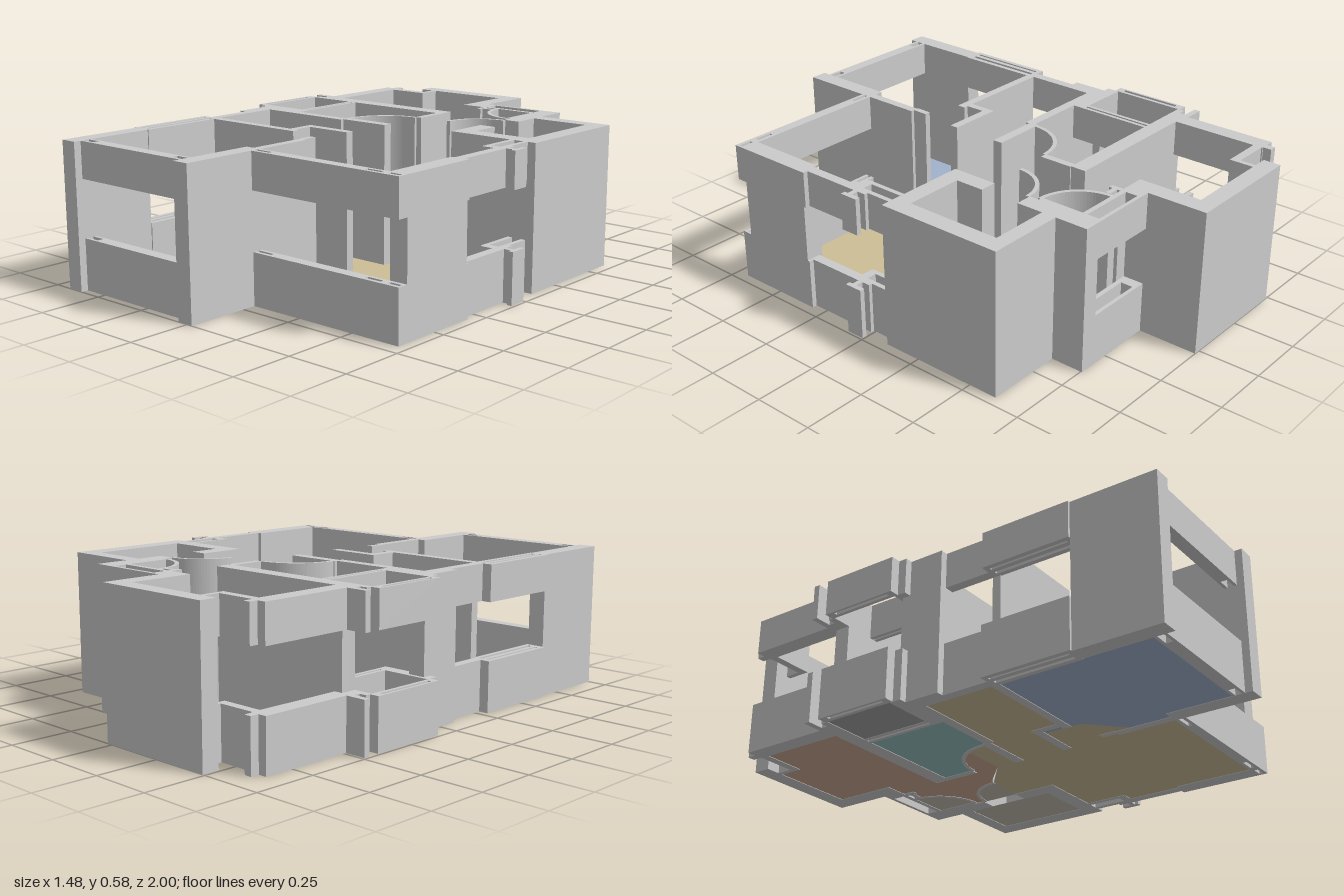
import * as THREE from 'three';

const H = 0.58, SILL = 0.205, HEAD = 0.435;

export function createModel() {
  const model = new THREE.Group();
  const grey = new THREE.MeshStandardMaterial({ color: 0xcccccc });

  // Box over a plan rectangle [x0, z0, x1, z1]
  function block(name, [x0, z0, x1, z1], y0 = 0, y1 = H) {
    const mesh = new THREE.Mesh(new THREE.BoxGeometry(x1 - x0, y1 - y0, z1 - z0), grey);
    mesh.position.set((x0 + x1) / 2, (y0 + y1) / 2, (z0 + z1) / 2);
    mesh.name = name;
    model.add(mesh);
  }

  // Full-height walls
  const walls = {
    backWall: [[-0.49, -1, 0.025, -0.93], [-0.05, -0.93, 0.025, -0.67]],
    utilityRoomWall: [
      [0.32, -0.755, 0.39, -0.45], [0.39, -0.62, 0.71, -0.56], [0.635, -0.56, 0.71, -0.1],
      [0.32, -0.165, 0.71, -0.095], [0.32, -0.285, 0.39, -0.165],
    ],
    rightWall: [[0.635, 0.32, 0.71, 0.65]],
    frontPillar: [[-0.67, 0.65, -0.6, 1], [-0.045, 0.65, 0.025, 1]],
    leftPillar: [[-0.67, -0.095, -0.6, 0.085]],
    bathroomWall: [
      [-0.62, -0.475, 0.025, -0.41], [0, -0.41, 0.03, -0.27],
      [-0.6, -0.06, -0.19, -0.02], [-0.2, -0.075, 0.03, -0.035],
    ],
    bedroomWall: [
      [-0.6, 0.27, -0.145, 0.305], [-0.195, 0.155, -0.165, 0.27],
      [-0.195, 0.155, 0.03, 0.19], [-0.01, 0.41, 0.025, 0.65], [-0.015, 0.345, 0.01, 0.41],
    ],
    doorJamb: [[0.055, -0.67, 0.075, -0.62], [0.075, -0.655, 0.12, -0.635], [0.3, -0.67, 0.32, -0.49]],
  };

  // Window walls: a band below the sill and another above the opening
  const windows = {
    backCornerWindow: [
      [-0.43, -0.93, -0.41, -0.83], [-0.61, -0.865, -0.41, -0.83],
      [-0.655, -0.87, -0.585, -0.46], [-0.62, -0.905, -0.59, -0.86],
    ],
    backWindow: [
      [0.025, -0.755, 0.32, -0.74], [0.025, -0.69, 0.32, -0.67],
      [0.025, -0.74, 0.07, -0.69], [0.3, -0.74, 0.32, -0.69],
    ],
    bayWindow: [
      [-0.74, -0.42, -0.73, -0.1], [-0.715, -0.42, -0.7, -0.1],
      [-0.74, -0.42, -0.7, -0.385], [-0.74, -0.125, -0.7, -0.095],
      [-0.7, -0.44, -0.46, -0.41], [-0.7, -0.11, -0.46, -0.06],
      [-0.74, -0.49, -0.62, -0.465], [-0.67, -0.475, -0.6, -0.41],
    ],
    bathroomWindow: [[-0.495, -0.41, -0.48, -0.06], [-0.47, -0.41, -0.455, -0.06]],
    livingSideWindow: [[-0.64, 0.08, -0.6, 0.28]],
    bedroomSideWindow: [
      [-0.68, 0.28, -0.66, 0.65], [-0.65, 0.3, -0.63, 0.63], [-0.615, 0.28, -0.595, 0.65],
      [-0.68, 0.28, -0.595, 0.3], [-0.68, 0.63, -0.595, 0.65],
    ],
    bedroomFrontWindow: [
      [-0.6, 0.92, -0.045, 0.932], [-0.6, 0.958, -0.045, 0.97], [-0.54, 0.932, -0.1, 0.958],
    ],
    livingFrontWindow: [
      [0.025, 0.65, 0.71, 0.665], [0.025, 0.68, 0.71, 0.695],
      [0.1, 0.665, 0.55, 0.68], [0.62, 0.665, 0.65, 0.68], [0.7, 0.665, 0.71, 0.68],
    ],
    rightWindow: [
      [0.595, -0.1, 0.615, 0.08], [0.655, -0.1, 0.675, 0.05], [0.6, 0.05, 0.69, 0.085],
      [0.675, 0.01, 0.69, 0.085], [0.69, 0.045, 0.74, 0.065], [0.72, 0.005, 0.74, 0.08],
      [0.65, 0.08, 0.69, 0.32], [0.69, 0.31, 0.71, 0.325],
    ],
  };
  for (const name in walls) walls[name].forEach(r => block(name, r));
  for (const name in windows) {
    for (const r of windows[name]) {
      block(name + 'Sill', r, 0, SILL);
      block(name + 'Head', r, HEAD, H);
    }
  }

  // Curved door sweeps: a faceted quarter ring on the side given by start angle (plan x, z)
  function doorSweep(name, cx, cz, radius, start) {
    const shape = new THREE.Shape();
    shape.absarc(cx, -cz, radius, start, start + Math.PI / 2, false);
    shape.absarc(cx, -cz, radius - 0.016, start + Math.PI / 2, start, true);
    const geo = new THREE.ExtrudeGeometry(shape, { depth: H, bevelEnabled: false, curveSegments: 12 });
    geo.rotateX(-Math.PI / 2);
    const mesh = new THREE.Mesh(geo, grey);
    mesh.name = name;
    model.add(mesh);
  }
  doorSweep('bathroomDoorSweep', 0.005, -0.075, 0.2, Math.PI / 2);
  doorSweep('closetDoorSweep', 0.31, -0.67, 0.19, Math.PI);
  doorSweep('utilityDoorSweep', 0.325, -0.28, 0.17, Math.PI / 2);

  // Thin coloured floors from plan outlines
  function floor(name, color, pts) {
    const shape = new THREE.Shape(pts.map(([x, z]) => new THREE.Vector2(x, -z)));
    const geo = new THREE.ShapeGeometry(shape);
    geo.rotateX(-Math.PI / 2);
    const mesh = new THREE.Mesh(geo, new THREE.MeshStandardMaterial({ color, side: THREE.DoubleSide }));
    mesh.position.y = 0.002;
    mesh.name = name;
    model.add(mesh);
  }
  const rect = (x0, z0, x1, z1) => [[x0, z0], [x1, z0], [x1, z1], [x0, z1]];
  // Points of a quarter circle, angles measured in plan with z up the page
  const arc = (cx, cz, r, start) => Array.from({ length: 13 }, (_, i) => {
    const a = start + i * Math.PI / 24;
    return [cx + r * Math.cos(a), cz - r * Math.sin(a)];
  });
  const bathArc = arc(0.005, -0.075, 0.19, Math.PI / 2);

  floor('backRoomFloor', 0xcca994, [
    [-0.41, -0.93], [-0.05, -0.93], [-0.05, -0.67], [0.05, -0.67], [0.05, -0.62],
    ...arc(0.31, -0.67, 0.185, Math.PI), [0.32, -0.445],
    ...arc(0.325, -0.28, 0.165, Math.PI / 2), [0.165, -0.3], [0.03, -0.165],
    [-0.16, -0.165], ...bathArc.slice(0, 9).reverse(), [0.03, -0.27], [0.03, -0.475],
    [-0.585, -0.475], [-0.585, -0.83], [-0.41, -0.83],
  ]);
  floor('bathroomFloor', 0x98bfbf, [
    [-0.455, -0.41], [0, -0.41], ...bathArc, [-0.19, -0.06], [-0.455, -0.06],
  ]);
  floor('balconyFloor', 0xa3a3a3, rect(-0.705, -0.41, -0.495, -0.11));
  floor('utilityFloor', 0xc4bcaf, rect(0.39, -0.56, 0.635, -0.165));
  floor('closetFloor', 0xc4bcaf, [[0.31, -0.67], ...arc(0.31, -0.67, 0.185, Math.PI)]);
  floor('utilityDoorFloor', 0xc4bcaf, [[0.325, -0.28], ...arc(0.325, -0.28, 0.165, Math.PI / 2)]);
  floor('livingRoomFloor', 0xcebe97, [
    [-0.6, -0.02], [-0.19, -0.02], [-0.19, -0.08], [-0.165, -0.165], [0.03, -0.165],
    [0.16, -0.28], [0.32, -0.28], [0.32, -0.1], [0.6, -0.1], [0.6, 0.08], [0.65, 0.08],
    [0.65, 0.32], [0.635, 0.32], [0.635, 0.65], [0.025, 0.65], [0.025, 0.475],
    [-0.01, 0.475], [-0.145, 0.345], [-0.145, 0.19], [-0.18, 0.19], [-0.18, 0.28], [-0.6, 0.28],
  ]);
  floor('bedroomFloor', 0xa0b2cc, [
    [-0.6, 0.305], [-0.165, 0.305], [-0.165, 0.19], [-0.145, 0.19], [-0.145, 0.345],
    [-0.01, 0.475], [-0.01, 0.65], [-0.045, 0.65], [-0.045, 0.92], [-0.6, 0.92],
  ]);

  return model;
}
